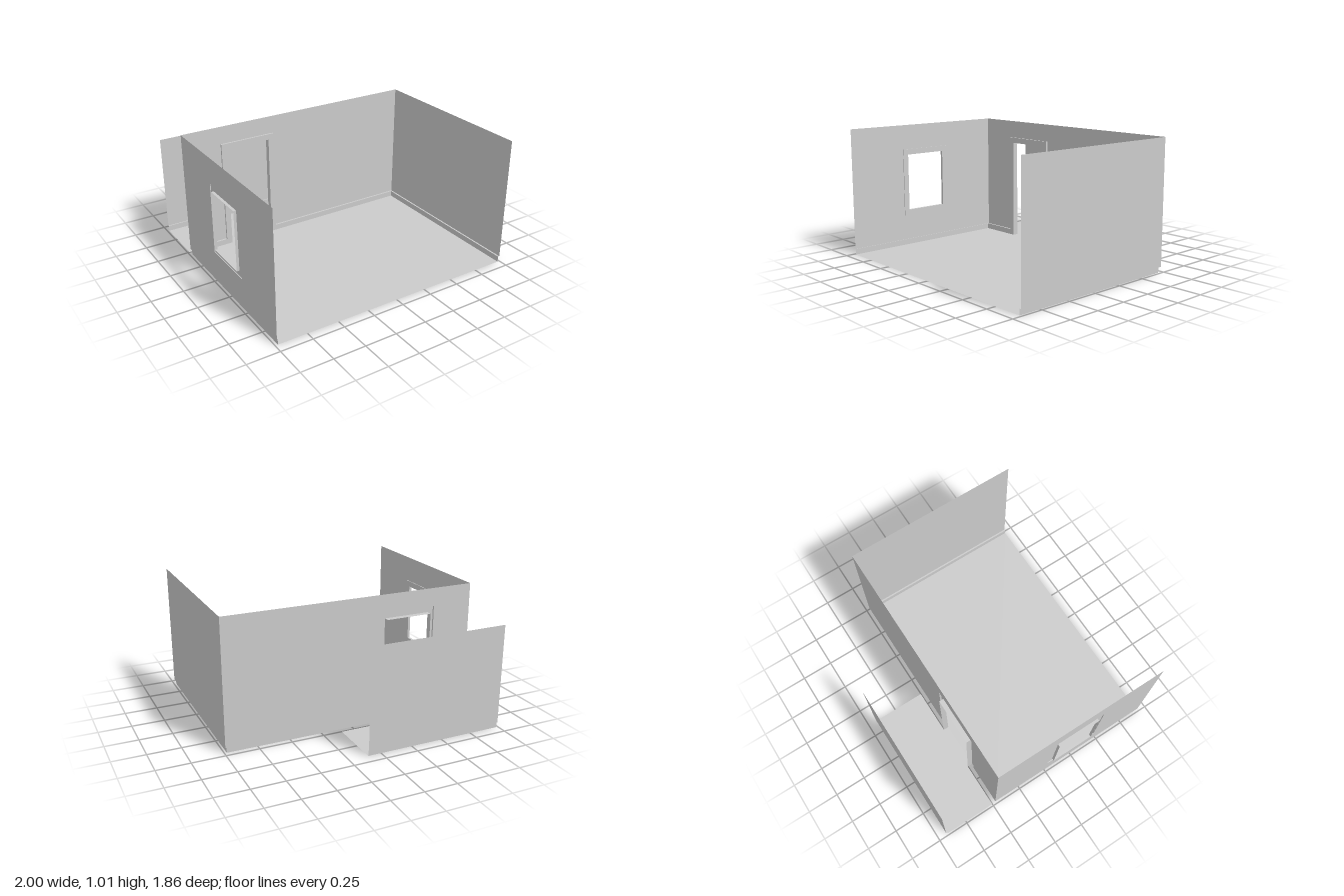
import * as THREE from 'three';

const material = new THREE.MeshStandardMaterial({ color: 0xcccccc, side: THREE.DoubleSide, flatShading: true });

const HEIGHT = 1.01, SKIRT = 0.045;
// Wall planes, and the slightly inset planes of skirting and casings
const wall = { left: -0.985, right: 0.995, back: -0.473, front: 0.927 };
const inset = { left: -0.979, right: 0.982, back: -0.459 };
const hall = { left: -0.985, right: 0.102, front: -0.502, back: -0.93, skirt: -0.92, height: 0.815 };
const door = { x0: -0.625, x1: -0.262, top: 0.823, trim: 0.045 };
const win = { z0: 0.05, z1: 0.4, y0: 0.295, y1: 0.763, trim: 0.045, outer: -1.0 };

function named(name, geometry) {
  const mesh = new THREE.Mesh(geometry, material);
  mesh.name = name;
  return mesh;
}

// Flat-faced surface between two matching polylines of [x, y, z] points
function strip(name, a, b) {
  const pos = [];
  for (let i = 0; i < a.length - 1; i++) {
    pos.push(...a[i], ...a[i + 1], ...b[i + 1], ...a[i], ...b[i + 1], ...b[i]);
  }
  const geometry = new THREE.BufferGeometry();
  geometry.setAttribute('position', new THREE.Float32BufferAttribute(pos, 3));
  geometry.computeVertexNormals();
  return named(name, geometry);
}

const floor = (name, x0, x1, z0, z1) =>
  strip(name, [[x0, 0, z0], [x0, 0, z1]], [[x1, 0, z0], [x1, 0, z1]]);

// Wall base: ledge from the wall plane to the inset plane, then skirting down to the floor
function wallBase(group, name, outer, inner) {
  const at = (pts, y) => pts.map(([x, z]) => [x, y, z]);
  group.add(strip(name + 'Ledge', at(outer, SKIRT), at(inner, SKIRT)));
  group.add(strip(name, at(inner, SKIRT), at(inner, 0)));
}

// Opening trim: reveal from the wall, flat casing, and jamb running outward
function trim(group, name, outer, inner, place, wallAt, insetAt, jambAt) {
  const at = (pts, depth) => pts.map(([u, v]) => place(u, v, depth));
  group.add(strip(name + 'Reveal', at(outer, wallAt), at(outer, insetAt)));
  group.add(strip(name + 'Casing', at(outer, insetAt), at(inner, insetAt)));
  group.add(strip(name + 'Jamb', at(inner, insetAt), at(inner, jambAt)));
}

// Doorway path (open at the floor) and window path (closed loop)
const doorPath = (t, y) => [
  [door.x0 - t, y], [door.x0 - t, door.top + t], [door.x1 + t, door.top + t], [door.x1 + t, y],
];
const winPath = (t) => [
  [win.z0 - t, win.y0 - t], [win.z0 - t, win.y1 + t], [win.z1 + t, win.y1 + t],
  [win.z1 + t, win.y0 - t], [win.z0 - t, win.y0 - t],
];
const vectors = (pts) => pts.map(([x, y]) => new THREE.Vector2(x, y));

export function createModel() {
  const model = new THREE.Group();
  model.name = 'roomWithHall';

  // Floors
  model.add(floor('roomFloor', inset.left, inset.right, inset.back, wall.front));
  model.add(floor('doorThreshold', door.x0, door.x1, hall.front, inset.back));
  model.add(floor('hallFloor', hall.left, hall.right, hall.skirt, hall.front));

  // Back wall with a notch for the doorway
  const backShape = new THREE.Shape(vectors([
    [wall.left, SKIRT], ...doorPath(door.trim, SKIRT),
    [wall.right, SKIRT], [wall.right, HEIGHT], [wall.left, HEIGHT],
  ]));
  model.add(named('backWall', new THREE.ShapeGeometry(backShape).translate(0, 0, wall.back)));

  // Window wall, drawn in z and y, then turned into place
  const sideShape = new THREE.Shape(vectors([
    [wall.back, SKIRT], [wall.front, SKIRT], [wall.front, HEIGHT], [wall.back, HEIGHT],
  ]));
  sideShape.holes.push(new THREE.Path(vectors(winPath(win.trim))));
  model.add(named('windowWall',
    new THREE.ShapeGeometry(sideShape).rotateY(-Math.PI / 2).translate(wall.left, 0, 0)));

  // Plain side wall
  model.add(strip('sideWall',
    [[wall.right, SKIRT, wall.back], [wall.right, SKIRT, wall.front]],
    [[wall.right, HEIGHT, wall.back], [wall.right, HEIGHT, wall.front]]));

  // Skirting on both sides of the doorway
  const d0 = door.x0 - door.trim, d1 = door.x1 + door.trim;
  wallBase(model, 'windowSideSkirting',
    [[wall.left, wall.front], [wall.left, wall.back], [d0, wall.back]],
    [[inset.left, wall.front], [inset.left, inset.back], [d0, inset.back]]);
  wallBase(model, 'plainSideSkirting',
    [[d1, wall.back], [wall.right, wall.back], [wall.right, wall.front]],
    [[d1, inset.back], [inset.right, inset.back], [inset.right, wall.front]]);

  // Door and window trim
  trim(model, 'door', doorPath(door.trim, 0), doorPath(0, 0),
    (u, v, d) => [u, v, d], wall.back, inset.back, hall.front);
  trim(model, 'window', winPath(win.trim), winPath(0),
    (u, v, d) => [d, v, u], wall.left, inset.left, win.outer);

  // Hall wall behind the doorway
  model.add(strip('hallWall',
    [[hall.left, SKIRT, hall.back], [hall.right, SKIRT, hall.back]],
    [[hall.left, hall.height, hall.back], [hall.right, hall.height, hall.back]]));
  wallBase(model, 'hallSkirting',
    [[hall.left, hall.back], [hall.right, hall.back]],
    [[hall.left, hall.skirt], [hall.right, hall.skirt]]);

  return model;
}
